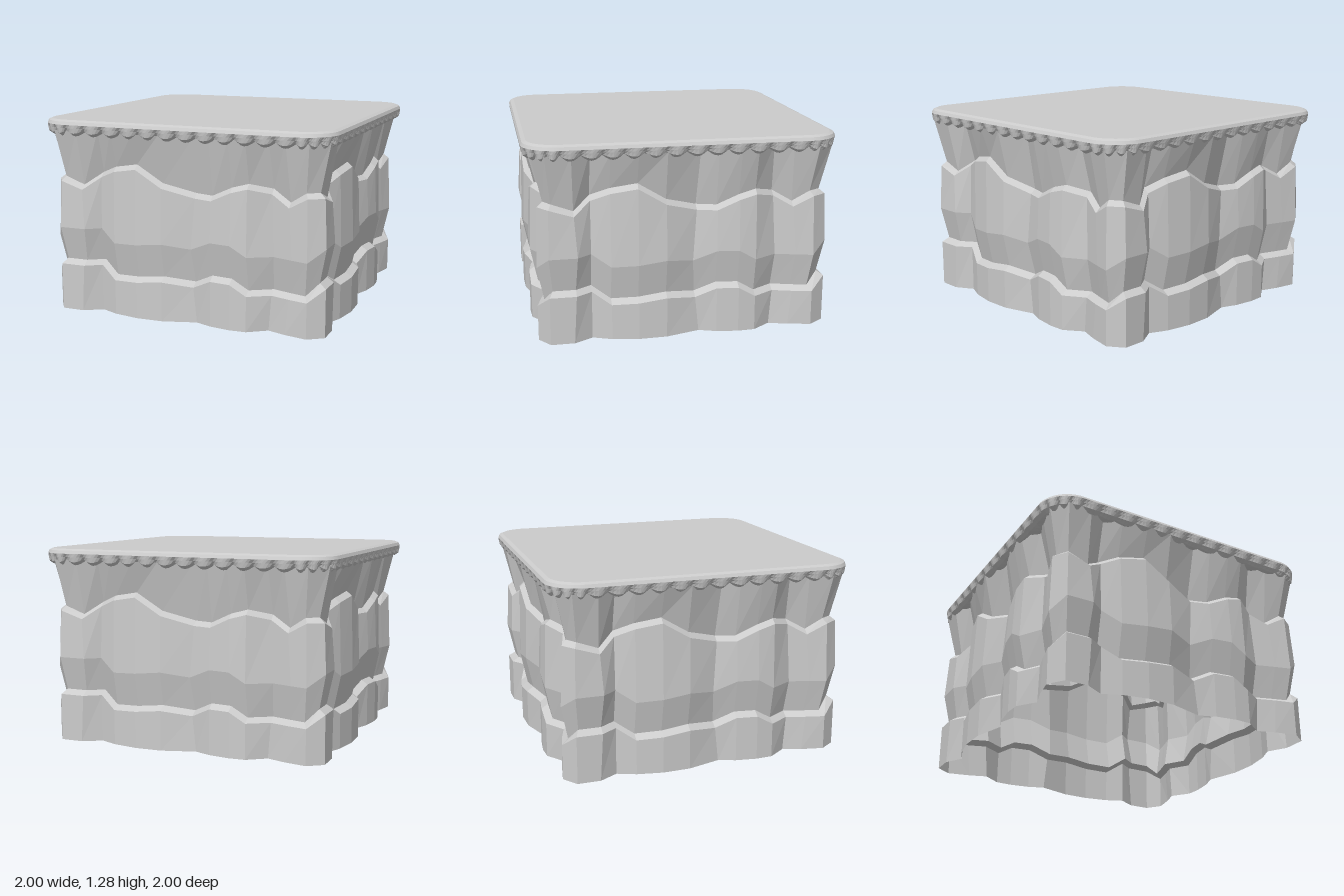
import * as THREE from 'three';

const material = new THREE.MeshStandardMaterial({ color: 0xcccccc, flatShading: true, side: THREE.DoubleSide });

// One side of the cliff, left to right: [x, depth, x shift at mid height, lower ledge y, upper ledge y]
const SIDE = [
  [-0.86, 0.95, 0.00, 0.34, 0.90],
  [-0.71, 0.95, 0.03, 0.34, 0.85],
  [-0.59, 0.88, 0.00, 0.34, 0.93],
  [-0.47, 0.93, 0.00, 0.26, 0.98],
  [-0.30, 0.96, 0.00, 0.27, 1.01],
  [-0.12, 0.955, 0.00, 0.29, 0.90],
  [0.10, 0.89, -0.04, 0.26, 0.84],
  [0.21, 0.93, 0.00, 0.325, 0.84],
  [0.35, 0.95, 0.00, 0.325, 0.905],
  [0.46, 0.945, 0.00, 0.26, 0.935],
  [0.58, 0.86, 0.03, 0.26, 0.90],
  [0.70, 0.90, 0.04, 0.26, 0.83],
  [0.85, 0.93, 0.00, 0.26, 0.90],
];

// Repeats the points of one side around all four sides
function fourSides(points) {
  const ring = [];
  for (let k = 0; k < 4; k++) {
    for (const p of points) {
      ring.push(p.clone().applyAxisAngle(new THREE.Vector3(0, 1, 0), k * Math.PI / 2));
    }
  }
  return ring;
}

// Skins closed rings, listed from the bottom up, into one mesh
function skin(name, rings) {
  const n = rings[0].length, positions = [], index = [];
  for (const ring of rings) for (const p of ring) positions.push(p.x, p.y, p.z);
  for (let r = 0; r < rings.length - 1; r++) {
    for (let i = 0; i < n; i++) {
      const j = (i + 1) % n, a = r * n, b = a + n;
      index.push(a + i, a + j, b + j, a + i, b + j, b + i);
    }
  }
  let geometry = new THREE.BufferGeometry();
  geometry.setAttribute('position', new THREE.Float32BufferAttribute(positions, 3));
  geometry.setIndex(index);
  geometry = geometry.toNonIndexed();
  geometry.computeVertexNormals();
  const mesh = new THREE.Mesh(geometry, material);
  mesh.name = name;
  return mesh;
}

// Ring of the rock wall: height rule, push outwards, share of the mid-height x shift
function rockRing(height, push, shift) {
  return fourSides(SIDE.map(([x, depth, dx, low, high]) => {
    const corner = Math.abs(x) > 0.8 ? Math.sign(x) * push * 0.5 : 0;
    return new THREE.Vector3(x + dx * shift + corner, height(low, high), depth + push);
  }));
}

// Ring of the cap: rounded square with scallops; rule(h) gives [inset, y], h = 0 at cusps and 1 on lobes
const RADIUS = 0.22, FLAT = 1 - RADIUS, STEPS = 6;
function capRing(rule) {
  const points = [];
  const lobe = (i) => Math.sin(Math.PI * (i % STEPS) / STEPS);
  const straight = 12 * STEPS, arc = 4 * STEPS;
  for (let i = 0; i < straight; i++) {
    const [inset, y] = rule(lobe(i));
    points.push(new THREE.Vector3(-FLAT + 2 * FLAT * i / straight, y, 1 - inset));
  }
  for (let i = 0; i < arc; i++) {
    const [inset, y] = rule(lobe(i));
    const angle = Math.PI / 2 * i / arc, r = RADIUS - inset;
    points.push(new THREE.Vector3(FLAT + r * Math.sin(angle), y, FLAT + r * Math.cos(angle)));
  }
  return fourSides(points);
}

export function createModel() {
  const group = new THREE.Group();
  group.name = 'cliffBlock';

  // Foot of the cliff with its bevelled ledge
  group.add(skin('lowerRock', [
    rockRing(() => 0, 0, 0),
    rockRing((low) => low - 0.03, 0, 0.6),
    rockRing((low) => low, -0.045, 0.6),
  ]));

  // Bulging middle layer with its bevelled ledge
  group.add(skin('middleRock', [
    rockRing((low) => low, -0.045, 0.6),
    rockRing((low) => low + 0.22, 0, 1),
    rockRing((low, high) => high - 0.03, -0.015, 0.4),
    rockRing((low, high) => high, -0.05, 0.4),
  ]));

  // Upper layer flaring out below the cap
  group.add(skin('upperRock', [
    rockRing((low, high) => high, -0.05, 0.4),
    rockRing(() => 1.21, 0.02, 0),
  ]));

  // Flat cap with a scalloped rim
  const cap = [
    (h) => [0.215, 1.205],
    (h) => [0.1, 1.21 - 0.015 * h],
    (h) => [0.055 - 0.02 * h, 1.205 - 0.03 * h],
    (h) => [0.03 - 0.022 * h, 1.213 - 0.018 * h],
    (h) => [0.016 - 0.014 * h, 1.228],
    () => [0, 1.25],
    () => [0.01, 1.27],
    () => [0.035, 1.28],
  ].map(capRing);
  cap.push(cap[0].map(() => new THREE.Vector3(0, 1.28, 0)));
  group.add(skin('scallopedCap', cap));

  return group;
}
